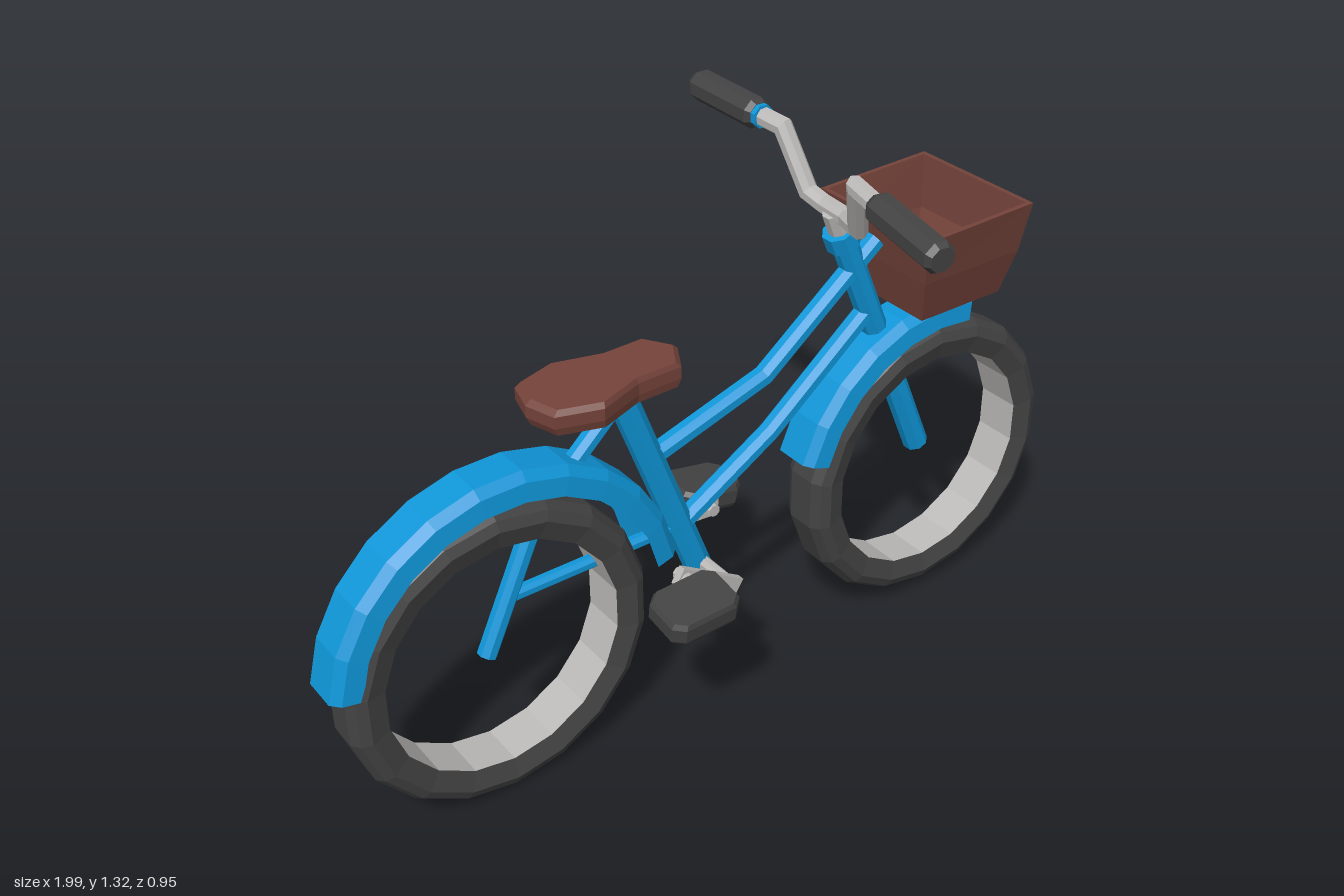
import * as THREE from 'three';

const V = (x, y, z = 0) => new THREE.Vector3(x, y, z);
const mat = (name, color, side = THREE.FrontSide) =>
  Object.assign(new THREE.MeshStandardMaterial({ color, side }), { name });

// Faceted skin over a series of rings; closed rings get end caps, open ones form a sheet
function loft(rings, closed = true) {
  const pos = [];
  const tri = (...pts) => pts.forEach((p) => pos.push(p.x, p.y, p.z));
  const n = rings[0].length;
  for (let i = 0; i < rings.length - 1; i++) {
    for (let k = 0; k < (closed ? n : n - 1); k++) {
      const j = (k + 1) % n;
      const a = rings[i][k], b = rings[i][j], c = rings[i + 1][j], d = rings[i + 1][k];
      tri(a, b, c);
      tri(a, c, d);
    }
  }
  if (closed) {
    const first = rings[0], last = rings[rings.length - 1];
    const mid = (r) => r.reduce((s, p) => s.add(p), V(0, 0)).divideScalar(n);
    const m0 = mid(first), m1 = mid(last);
    for (let k = 0; k < n; k++) {
      const j = (k + 1) % n;
      tri(m0, first[j], first[k]);
      tri(m1, last[k], last[j]);
    }
  }
  const g = new THREE.BufferGeometry();
  g.setAttribute('position', new THREE.Float32BufferAttribute(pos, 3));
  g.computeVertexNormals();
  return g;
}

// Straight or mitred tube through points; radius may be one number or one per point
function tube(points, radius, sides = 8) {
  const rad = (i) => (Array.isArray(radius) ? radius[i] : radius);
  const dirs = points.slice(1).map((p, i) => p.clone().sub(points[i]).normalize());
  const ref = Math.abs(dirs[0].z) > 0.8 ? V(1, 0, 0) : V(0, 0, 1);
  const v = dirs[0].clone().cross(ref).normalize();
  const u = v.clone().cross(dirs[0]);
  let offs = [];
  for (let k = 0; k < sides; k++) {
    const a = ((k + 0.5) / sides) * Math.PI * 2;
    offs.push(u.clone().multiplyScalar(Math.cos(a)).addScaledVector(v, Math.sin(a)));
  }
  const rings = points.map((p, i) => {
    if (i > 0) {
      const d = dirs[i - 1];
      const t = d.clone().add(dirs[i] || d).normalize();
      offs = offs.map((o) => o.clone().addScaledVector(d, -o.dot(t) / d.dot(t)));
    }
    return offs.map((o) => p.clone().addScaledVector(o, rad(i)));
  });
  return loft(rings);
}

function flat(g) {
  const f = g.toNonIndexed();
  f.computeVertexNormals();
  return f;
}

export function createModel() {
  const root = new THREE.Group();
  root.name = 'bicycle';
  const blue = mat('blue paint', 0x0f96d8, THREE.DoubleSide);
  const dark = mat('dark rubber', 0x434343);
  const brown = mat('brown leather', 0x74433a);
  const silver = mat('silver metal', 0xbcbab8);

  const add = (name, geometry, material, parent = root) => {
    const m = new THREE.Mesh(geometry, material);
    m.name = name;
    parent.add(m);
    return m;
  };

  // Wheels: tyre with bevelled tread, plain rim band inside
  const lathe = (pts) =>
    flat(new THREE.LatheGeometry(pts.map(([r, y]) => new THREE.Vector2(r, y)), 18).rotateX(Math.PI / 2));
  const tyre = lathe([[0.288, -0.055], [0.335, -0.069], [0.358, -0.058], [0.372, -0.035],
    [0.372, 0.035], [0.358, 0.058], [0.335, 0.069], [0.288, 0.055]]);
  const rim = lathe([[0.288, 0.055], [0.288, -0.055]]);
  for (const [name, x, y] of [['rearWheel', -0.595, 0.38], ['frontWheel', 0.623, 0.408]]) {
    const wheel = new THREE.Group();
    wheel.name = name;
    wheel.position.set(x, y, 0.006);
    add('tyre', tyre, dark, wheel);
    add('rim', rim, silver, wheel);
    root.add(wheel);
  }

  // Mudguards: channel section swept round an arc
  const section = [[0.368, -0.066], [0.412, -0.061], [0.432, -0.042],
    [0.432, 0.042], [0.412, 0.061], [0.368, 0.066]];
  const mudguard = (name, cx, cy, from, to, steps, scale) => {
    const rings = [];
    for (let i = 0; i <= steps; i++) {
      const a = THREE.MathUtils.degToRad(from + ((to - from) * i) / steps);
      rings.push(section.map(([r, z]) =>
        V(cx + Math.cos(a) * r * scale, cy + Math.sin(a) * r * scale, z + 0.004)));
    }
    add(name, loft(rings, false), blue);
  };
  mudguard('rearMudguard', -0.567, 0.393, 9, 173, 11, 1);
  mudguard('frontMudguard', 0.634, 0.42, 78, 164, 6, 0.985);

  // Frame tubes
  const frame = [
    ['forkAndHeadTube', [V(0.35, 1.085), V(0.628, 0.428)], 0.031],
    ['headCollar', [V(0.345, 1.09), V(0.362, 1.05)], 0.04],
    ['seatTube', [V(-0.245, 0.88), V(-0.03, 0.305)], 0.033],
    ['upperTube', [V(0.455, 1.035), V(0.14, 0.79), V(-0.15, 0.7)], 0.025],
    ['lowerTube', [V(0.45, 0.87), V(0.16, 0.635), V(-0.1, 0.48)], 0.025],
    ['seatStay', [V(-0.25, 0.87), V(-0.465, 0.67), V(-0.61, 0.355)], 0.023],
    ['chainStay', [V(-0.1, 0.485), V(-0.53, 0.485)], 0.017],
  ];
  for (const [name, pts, r] of frame) add(name, tube(pts, r), blue);

  // Handlebar, slightly turned
  add('stem', tube([V(0.358, 1.065), V(0.328, 1.14)], 0.027), silver);
  const left = [V(0.203, 1.248, 0.47), V(0.237, 1.268, 0.235)];
  const right = [V(0.305, 1.292, -0.235), V(0.31, 1.292, -0.473)];
  add('handlebar', tube([left[1], V(0.25, 1.275, 0.16), V(0.305, 1.147, 0.108), V(0.333, 1.137, 0.04),
    V(0.338, 1.138, -0.04), V(0.335, 1.15, -0.095), V(0.315, 1.285, -0.165), right[0]], 0.023), silver);
  const grip = (name, [a, b]) =>
    add(name, tube([0, 0.06, 0.93, 1].map((t) => a.clone().lerp(b, t)), [0.029, 0.037, 0.037, 0.027]), dark);
  grip('leftGrip', left);
  grip('rightGrip', right);
  add('gripRing', tube([V(0.305, 1.292, -0.222), V(0.305, 1.292, -0.24)], 0.028), blue);

  // Saddle: broad back, narrow nose
  const outline = [[-0.435, 0.045], [-0.335, 0.08], [-0.225, 0.042], [-0.115, 0.042], [-0.075, -0.028],
    [-0.115, -0.095], [-0.22, -0.095], [-0.34, -0.132], [-0.437, -0.105], [-0.457, -0.03]];
  const saddleRing = (y, s) => outline.map(([x, z]) => {
    const px = -0.266 + (x + 0.266) * s;
    return V(px, y + (px + 0.266) * 0.02, -0.027 + (z + 0.027) * s);
  });
  add('saddle', loft([saddleRing(0.87, 0.95), saddleRing(0.89, 1), saddleRing(0.918, 1),
    saddleRing(0.93, 0.93)]), brown);

  // Basket: outer walls, rim, inner walls and floor
  const basketRing = (x0, x1, hz, y, tilt = 0) => [V(x1, y + tilt, hz), V(x1, y + tilt, -hz),
    V(x0, y - tilt, -hz), V(x0, y - tilt, hz)].map((p) => p.setZ(p.z - 0.002));
  add('basket', loft([
    basketRing(0.495, 0.735, 0.13, 0.868),
    basketRing(0.468, 0.755, 0.16, 0.98),
    basketRing(0.446, 0.767, 0.181, 1.1, 0.004),
    basketRing(0.458, 0.755, 0.169, 1.1, 0.004),
    basketRing(0.48, 0.738, 0.148, 0.98),
    basketRing(0.508, 0.69, 0.118, 0.882),
  ]), brown);

  // Cranks and pedals
  add('crankAxle', tube([V(-0.045, 0.365, 0.135), V(-0.045, 0.365, -0.17)], 0.017), silver);
  const pedalRing = (y, s) => [[0.065, 0.064], [0.09, 0.042], [0.09, -0.042], [0.065, -0.064],
    [-0.065, -0.064], [-0.09, -0.042], [-0.09, 0.042], [-0.065, 0.064]].map(([x, z]) => V(x * s, y, z * s));
  const pedalShape = loft([pedalRing(-0.03, 0.92), pedalRing(-0.018, 1), pedalRing(0.018, 1), pedalRing(0.03, 0.92)]);
  const crank = (side, z, tip, center, roll, pitch) => {
    const axle = V(-0.045, 0.365, z);
    const d = tip.clone().sub(axle);
    const arm = add(side + 'CrankArm', new THREE.BoxGeometry(d.length() + 0.04, 0.044, 0.018), silver);
    arm.position.copy(axle).add(tip).multiplyScalar(0.5);
    arm.rotation.z = Math.atan2(d.y, d.x);
    const out = Math.sign(z);
    add(side + 'PedalSpindle', tube([V(tip.x, tip.y, z - out * 0.022), V(tip.x, tip.y, z + out * 0.05)], 0.016), silver);
    const pedal = add(side + 'Pedal', pedalShape, dark);
    pedal.position.copy(center);
    pedal.rotation.set(roll, 0, pitch);
  };
  crank('left', 0.127, V(-0.175, 0.445, 0.127), V(-0.215, 0.438, 0.219), 0.17, 0.04);
  crank('right', -0.163, V(0.11, 0.352, -0.163), V(0.153, 0.338, -0.257), 0.05, -0.2);

  return root;
}
